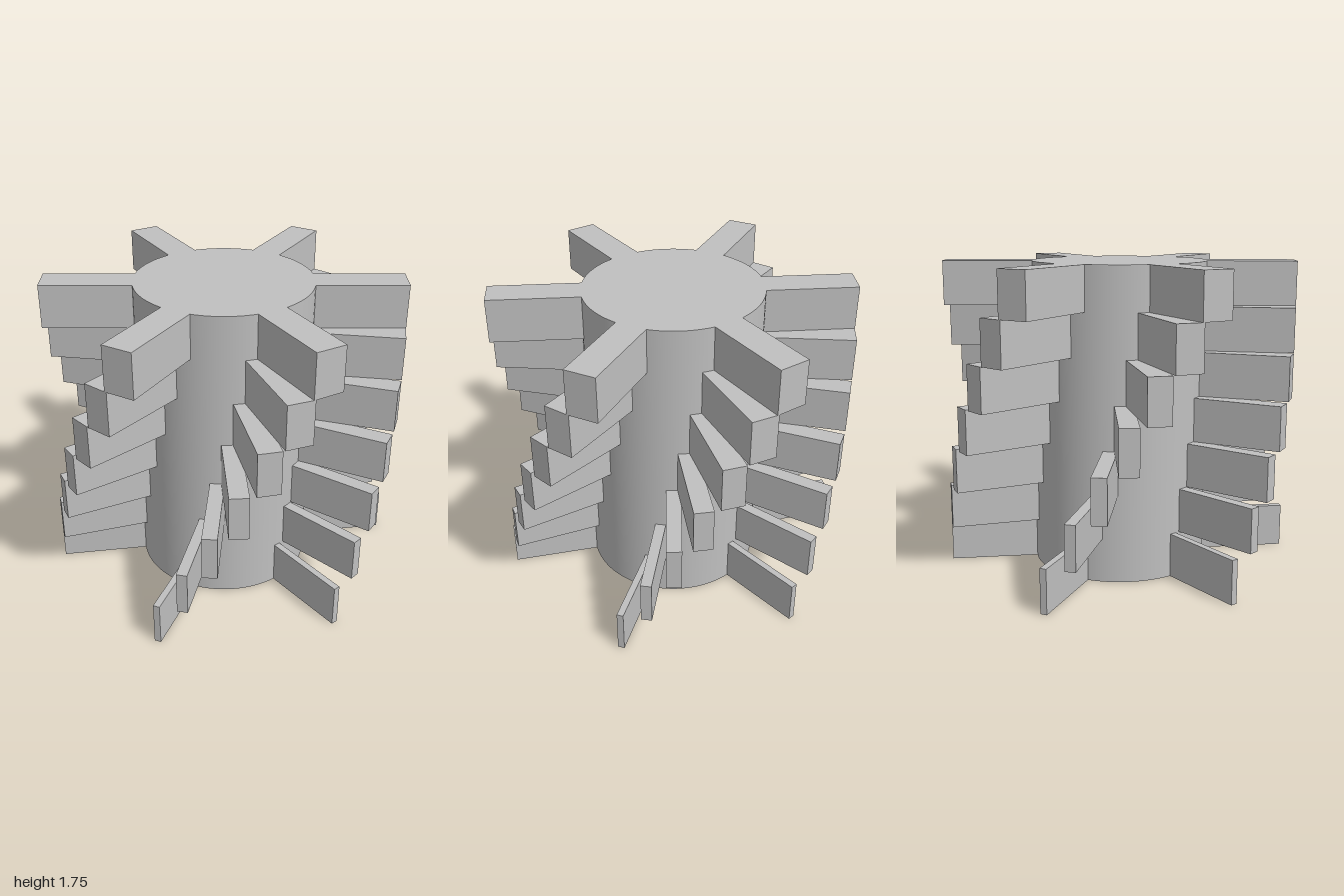
import * as THREE from 'three';

const TIERS = 7, BLADES = 6, TIER_HEIGHT = 0.25;
const HUB_RADIUS = 0.499, TIP_RADIUS = 0.998, ROOT_RADIUS = 0.485;

export function createModel() {
  const model = new THREE.Group();
  model.name = 'bladedDrum';
  const grey = new THREE.MeshStandardMaterial({ color: 0xc0c0c0 });
  grey.name = 'grey';

  // Solid central hub
  const height = TIERS * TIER_HEIGHT;
  const hub = new THREE.Mesh(new THREE.CylinderGeometry(HUB_RADIUS, HUB_RADIUS, height, 96), grey);
  hub.name = 'hub';
  hub.position.y = height / 2;
  model.add(hub);

  // Stacked rings of blades, each ring turned further and thicker than the one below
  const length = TIP_RADIUS - ROOT_RADIUS;
  const step = (Math.PI * 2) / BLADES;
  for (let i = 0; i < TIERS; i++) {
    const tier = new THREE.Group();
    tier.name = `bladeTier${i + 1}`;
    tier.position.y = (i + 0.5) * TIER_HEIGHT;
    tier.rotation.y = (i * step) / TIERS;

    const thickness = 0.0375 + 0.0225 * i;
    const bladeShape = new THREE.BoxGeometry(length, TIER_HEIGHT, thickness);
    bladeShape.translate(ROOT_RADIUS + length / 2, 0, 0);
    for (let k = 0; k < BLADES; k++) {
      const blade = new THREE.Mesh(bladeShape, grey);
      blade.name = `blade${k + 1}`;
      blade.rotation.y = k * step;
      tier.add(blade);
    }
    model.add(tier);
  }
  return model;
}
